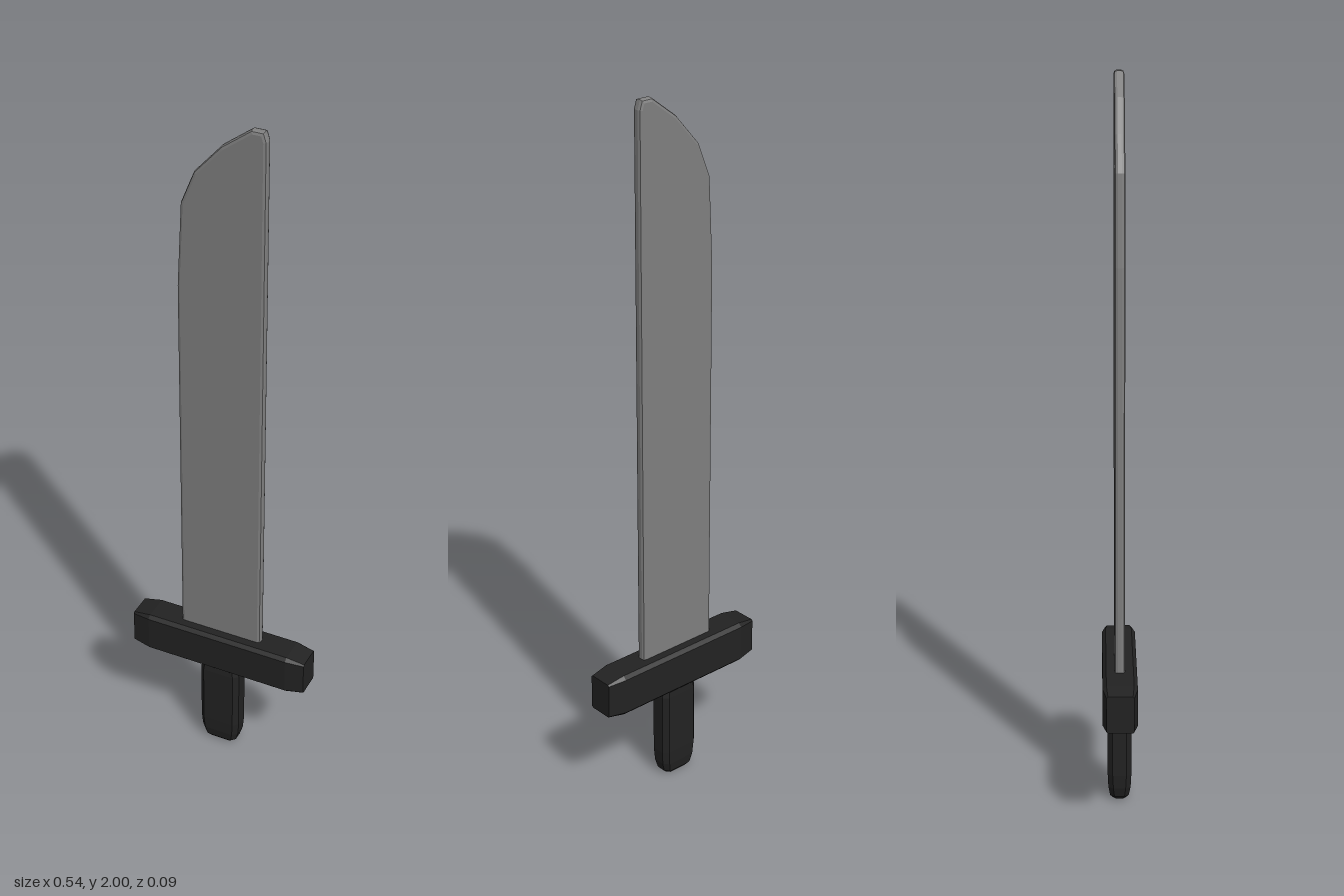
import * as THREE from 'three';

const steel = new THREE.MeshStandardMaterial({ name: 'steel grey', color: 0x7f7f7f, flatShading: true });
const black = new THREE.MeshStandardMaterial({ name: 'matte black', color: 0x222222, flatShading: true });

// Loft of chamfered rectangles along y; each section is [y, halfX, halfZ, chamfer]
function chamferedLoft(sections) {
  const pos = [], index = [], n = 8;
  for (const [y, a, b, c] of sections) {
    const ring = [[c - a, b], [a - c, b], [a, b - c], [a, c - b], [a - c, -b], [c - a, -b], [-a, c - b], [-a, b - c]];
    for (const [x, z] of ring) pos.push(x, y, z);
  }
  const top = (sections.length - 1) * n;
  for (let s = 0; s < top; s += n) {
    for (let i = 0; i < n; i++) {
      const j = (i + 1) % n;
      index.push(s + i, s + j, s + n + j, s + i, s + n + j, s + n + i);
    }
  }
  for (let i = 1; i < n - 1; i++) {
    index.push(0, i + 1, i, top, top + i, top + i + 1);
  }
  const geo = new THREE.BufferGeometry();
  geo.setAttribute('position', new THREE.Float32BufferAttribute(pos, 3));
  geo.setIndex(index);
  geo.computeVertexNormals();
  return geo;
}

export function createModel() {
  const group = new THREE.Group();
  group.name = 'sword';
  const add = (name, geo, material) => {
    const mesh = new THREE.Mesh(geo, material);
    mesh.name = name;
    group.add(mesh);
    return mesh;
  };

  // Blade: flat outline with a curved tip and bevelled edges, seated in the guard
  const outline = [
    [-0.125, 0.36], [0.122, 0.36], [0.122, 1.975], [0.114, 2.0], [0.08, 2.0],
    [0.0, 1.94], [-0.075, 1.855], [-0.113, 1.76], [-0.125, 1.52],
  ];
  const bevel = 0.009;
  const bladeGeo = new THREE.ExtrudeGeometry(
    new THREE.Shape(outline.map(([x, y]) => new THREE.Vector2(x, y))),
    { depth: 0.01, bevelEnabled: true, bevelThickness: bevel, bevelSize: bevel, bevelOffset: -bevel, bevelSegments: 2 }
  );
  bladeGeo.translate(0, 0, -0.005);
  add('blade', bladeGeo, steel);

  // Crossguard: bar with tapered ends
  const guardGeo = chamferedLoft([
    [-0.268, 0.052, 0.037, 0.004],
    [-0.215, 0.062, 0.047, 0.01],
    [0.215, 0.062, 0.047, 0.01],
    [0.268, 0.052, 0.037, 0.004],
  ]);
  guardGeo.rotateZ(-Math.PI / 2);
  add('crossguard', guardGeo, black).position.y = 0.35;

  // Handle: chamfered grip narrowing to a rounded pommel
  add('handle', chamferedLoft([
    [0, 0.036, 0.017, 0.008],
    [0.012, 0.049, 0.026, 0.012],
    [0.04, 0.057, 0.031, 0.014],
    [0.08, 0.06, 0.033, 0.014],
    [0.265, 0.06, 0.033, 0.014],
    [0.3, 0.053, 0.029, 0.012],
  ]), black);

  return group;
}
